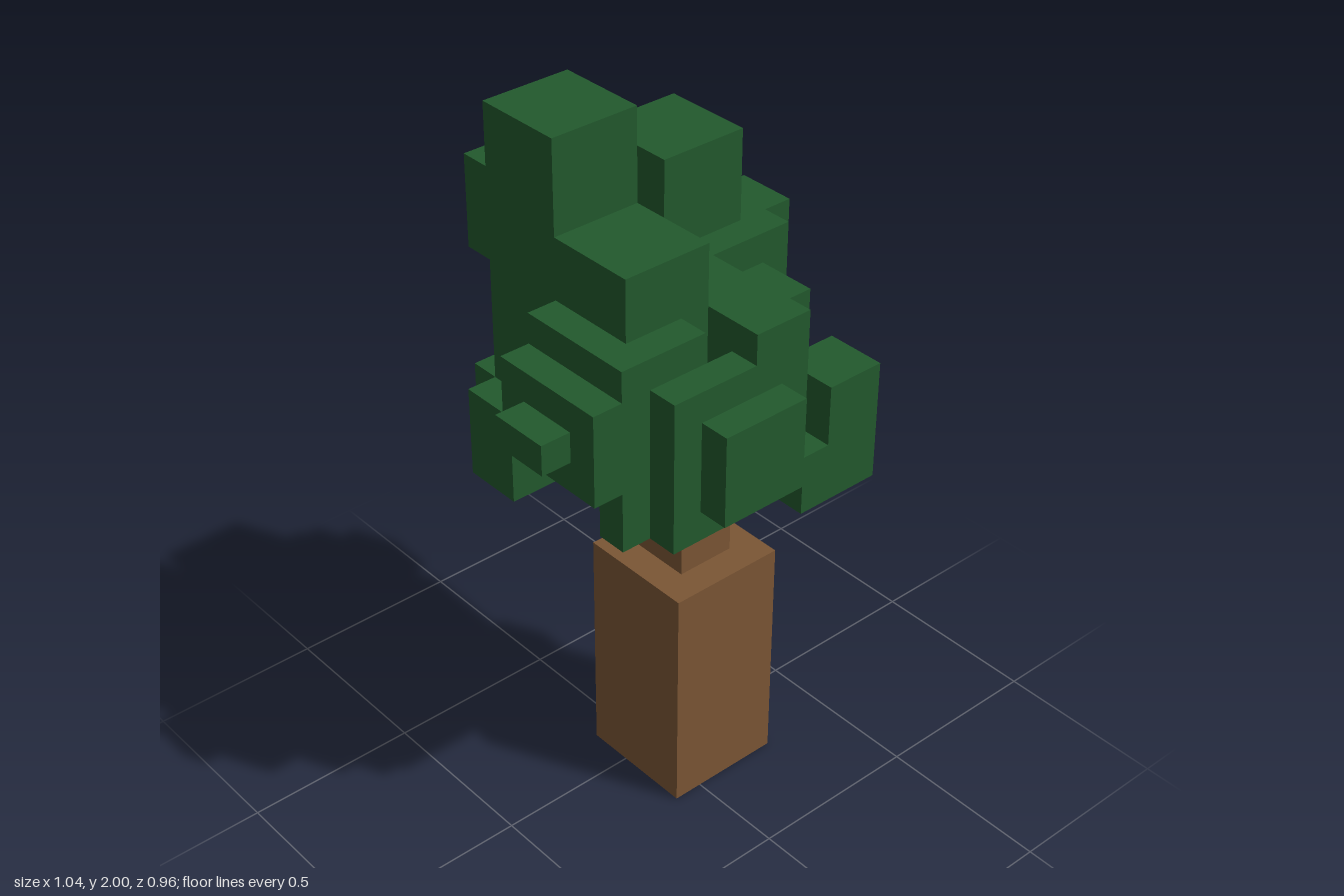
import * as THREE from 'three';

// All parts sit on a grid 12 wide, 23 tall and 11 deep.
const U = 2 / 23;

export function createModel() {
  const tree = new THREE.Group();
  tree.name = 'blockyTree';

  const bark = new THREE.MeshStandardMaterial({ color: 0x7b5635 });
  bark.name = 'barkBrown';
  const leaf = new THREE.MeshStandardMaterial({ color: 0x22592d });
  leaf.name = 'leafGreen';

  // Box between grid lines: x0..x1, y0..y1, z0..z1
  function block(parent, name, material, [x0, x1, y0, y1, z0, z1]) {
    const mesh = new THREE.Mesh(
      new THREE.BoxGeometry((x1 - x0) * U, (y1 - y0) * U, (z1 - z0) * U), material);
    mesh.position.set(((x0 + x1) / 2 - 6) * U, ((y0 + y1) / 2) * U, ((z0 + z1) / 2 - 5.5) * U);
    mesh.name = name;
    parent.add(mesh);
  }

  // Trunk
  const trunk = new THREE.Group();
  trunk.name = 'trunk';
  block(trunk, 'lowerTrunk', bark, [5, 9, 0, 8, 4, 8]);
  block(trunk, 'upperTrunk', bark, [6, 8, 8, 11, 5, 7]);
  tree.add(trunk);

  // Foliage
  const foliage = new THREE.Group();
  foliage.name = 'foliage';
  const clumps = {
    crownTall: [3, 6, 14, 23, 2, 5],
    crownStep: [3, 6, 13, 20, 5, 8],
    crownLeft: [7, 10, 18, 21, 2, 5],
    core: [6, 10, 11, 18, 2, 6],
    leftLedge: [10, 11, 15, 18, 2, 6],
    leftBud: [11, 12, 16, 18, 3, 5],
    frontMass: [6, 8, 12, 18, 6, 10],
    frontPlate: [3, 6, 12, 17, 9, 10],
    frontBud: [4, 7, 13, 16, 10, 11],
    rightMass: [2, 3, 13, 18, 5, 8],
    rightFrontMass: [2, 5, 12, 18, 8, 9],
    rightPlate: [1, 2, 14, 17, 5, 9],
    rightBud: [0, 1, 15, 16, 6, 8],
    leftFrontStep: [8, 10, 13, 17, 6, 8],
    leftFrontClump: [9, 11, 11, 15, 8, 10],
    leftFrontLow: [8, 9, 11, 13, 8, 10],
    leftFrontSide: [10, 11, 11, 13, 7, 8],
    backUpperPlate: [3, 6, 18, 21, 1, 2],
    backUpperBud: [4, 5, 19, 20, 0, 1],
    backLowerPlate: [7, 10, 13, 17, 1, 2],
    backLowerBud: [8, 9, 15, 16, 0, 1],
    backHangingClump: [3, 5, 11, 14, 1, 2],
    rightHangingClump: [2, 4, 11, 14, 2, 4],
    underClump: [4, 7, 11, 13, 5, 7],
  };
  for (const [name, extents] of Object.entries(clumps)) block(foliage, name, leaf, extents);
  tree.add(foliage);

  return tree;
}
